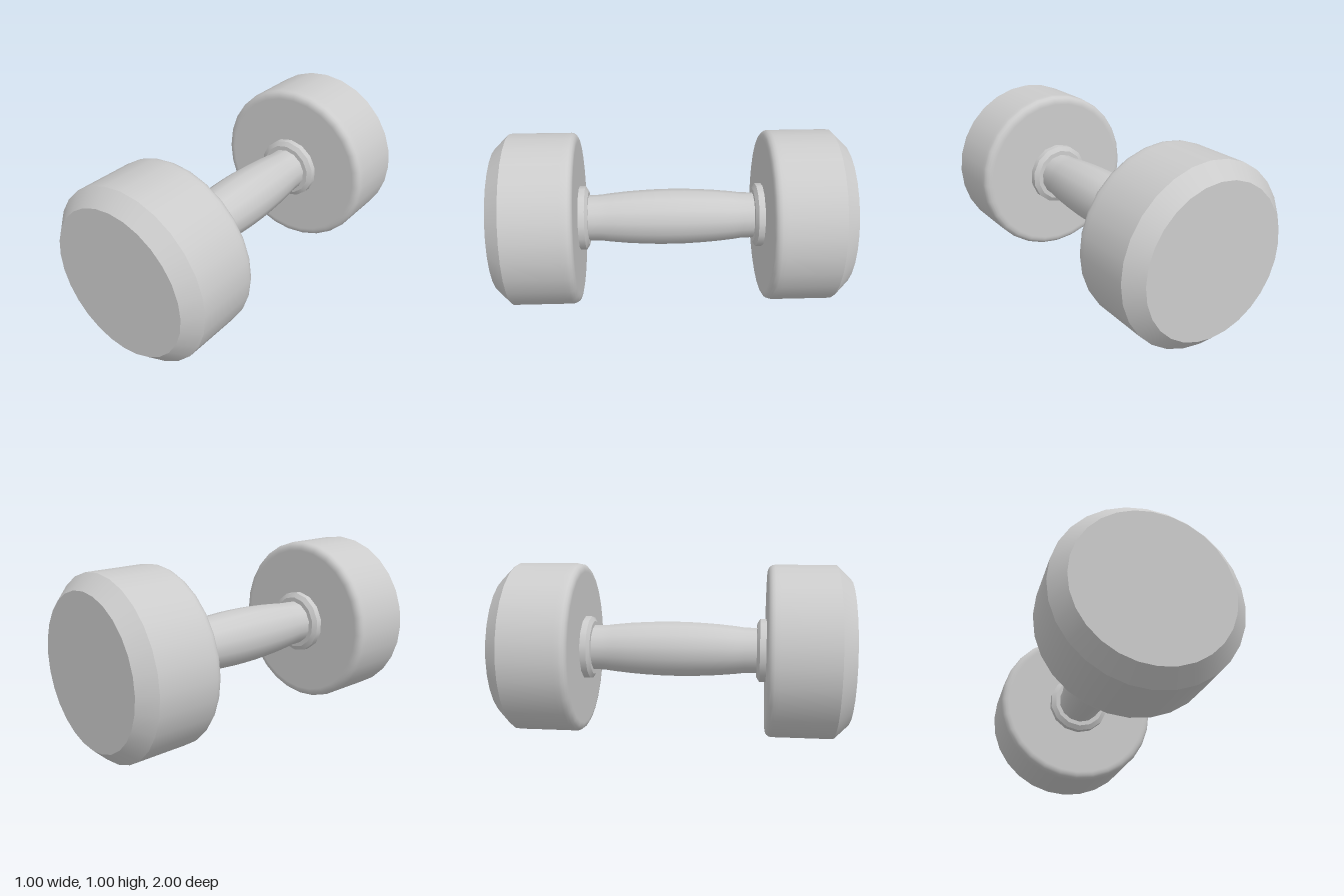
import * as THREE from 'three';

const material = new THREE.MeshStandardMaterial({ color: 0xcccccc });

// Turned part along z from [radius, z] points; each call is one smooth section
function turned(name, profile, sides) {
  const points = profile.map(([r, z]) => new THREE.Vector2(r, z));
  const geometry = new THREE.LatheGeometry(points, sides);
  geometry.rotateX(Math.PI / 2);
  const mesh = new THREE.Mesh(geometry, material);
  mesh.name = name;
  return mesh;
}

// One weight with its collar, at the +z end
function createEnd(name) {
  const end = new THREE.Group();
  end.name = name;

  // Flat inner face, rounded inner rim and cylindrical wall
  const body = [[0, 0.533], [0.45, 0.533]];
  const round = 0.04, steps = 4;
  for (let i = 0; i <= steps; i++) {
    const a = (i / steps) * Math.PI / 2;
    body.push([0.5 - round + round * Math.sin(a), 0.533 + round - round * Math.cos(a)]);
  }
  body.push([0.5, 0.6], [0.5, 0.917]);

  end.add(
    turned('weightBody', body, 28),
    turned('weightChamfer', [[0.5, 0.917], [0.42, 1]], 28),
    turned('weightEndFace', [[0.42, 1], [0, 1]], 28),
    // Stepped collar where the handle meets the weight
    turned('collarFace', [[0.1, 0.48], [0.16, 0.48]], 14),
    turned('collarChamfer', [[0.16, 0.48], [0.187, 0.497]], 14),
    turned('collarWall', [[0.187, 0.497], [0.187, 0.54]], 14)
  );
  return end;
}

export function createModel() {
  const model = new THREE.Group();
  model.name = 'dumbbell';

  // Handle, swelling gently towards the middle
  const half = [[0.163, 0], [0.162, 0.08], [0.158, 0.17], [0.152, 0.26], [0.142, 0.36], [0.135, 0.41], [0.133, 0.49]];
  const mirrored = half.slice(1).reverse().map(([r, z]) => [r, -z]);
  model.add(turned('handle', [...mirrored, ...half], 14));

  // Matching weights at both ends
  const front = createEnd('frontWeight');
  const back = createEnd('backWeight');
  back.rotation.y = Math.PI;
  model.add(front, back);

  model.children.forEach((part) => { part.position.y = 0.5; });
  return model;
}
